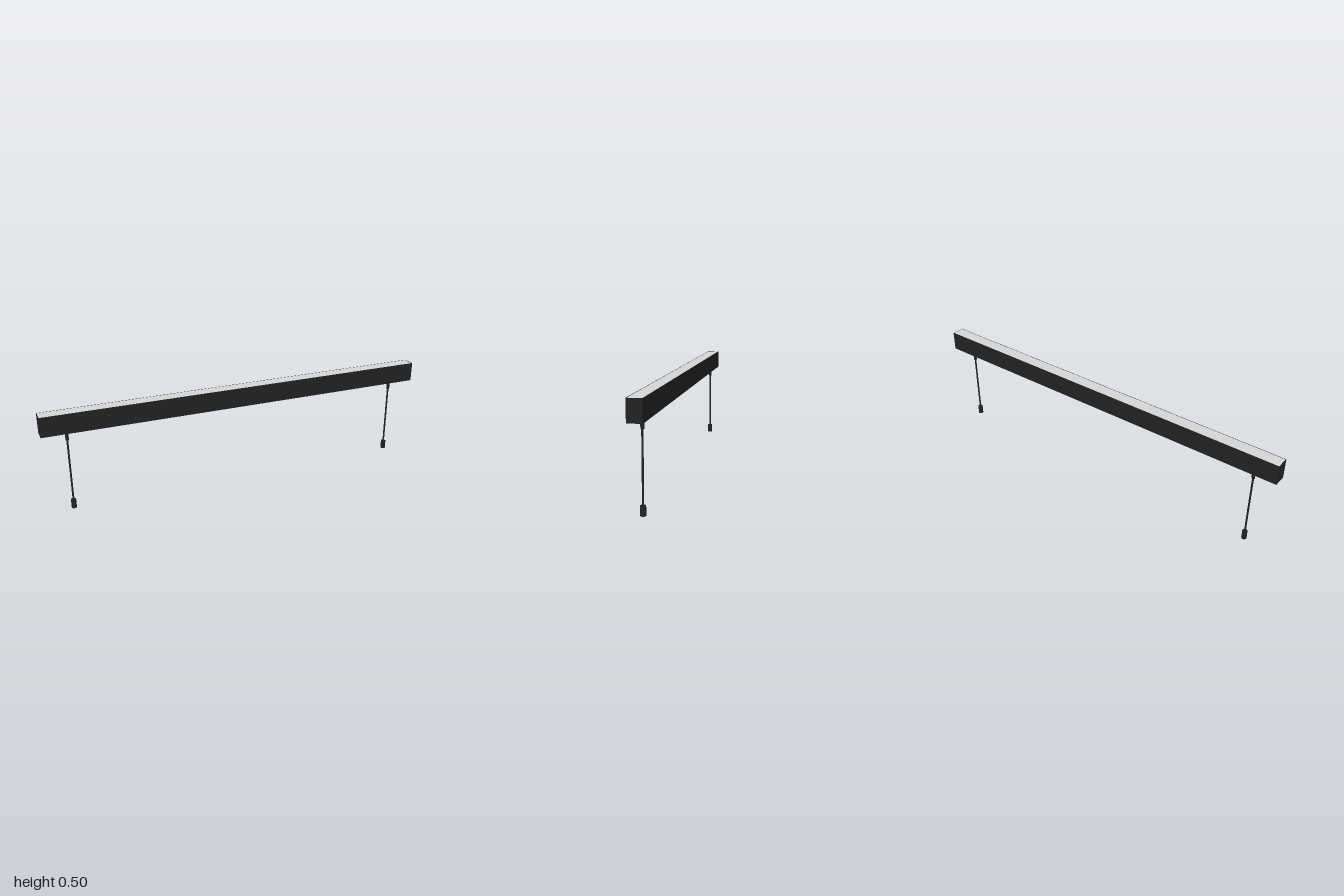
import * as THREE from 'three';

export function createModel() {
  const model = new THREE.Group();
  const black = new THREE.MeshStandardMaterial({ color: 0x222222 });
  black.name = 'matteBlack';
  const white = new THREE.MeshStandardMaterial({ color: 0xd4d4d4 });
  white.name = 'diffuserWhite';

  const add = (parent, name, geometry, material, x, y, z) => {
    const mesh = new THREE.Mesh(geometry, material);
    mesh.name = name;
    mesh.position.set(x, y, z);
    parent.add(mesh);
    return mesh;
  };

  const bottom = 0.401, top = 0.499, depth = 0.066, wall = 0.002;

  // Thin-walled rectangular housing, open above and below
  const outline = (w, d, Type) => new Type([
    new THREE.Vector2(-w, -d), new THREE.Vector2(w, -d),
    new THREE.Vector2(w, d), new THREE.Vector2(-w, d),
  ]);
  const section = outline(1, depth / 2, THREE.Shape);
  section.holes.push(outline(1 - wall, depth / 2 - wall, THREE.Path));
  const housing = new THREE.ExtrudeGeometry(section, { depth: top - bottom, bevelEnabled: false });
  housing.rotateX(-Math.PI / 2);
  add(model, 'housing', housing, black, 0, bottom, 0);

  // Diffuser panels closing the housing
  const panel = new THREE.BoxGeometry(2 - 2 * wall, 0.004, depth - 2 * wall);
  add(model, 'upperDiffuser', panel, white, 0, top - 0.0025, 0);
  add(model, 'lowerDiffuser', panel, white, 0, bottom + 0.0035, 0);

  // One suspension set near each end
  for (const side of [-1, 1]) {
    const suspension = new THREE.Group();
    suspension.name = side > 0 ? 'leftSuspension' : 'rightSuspension';
    suspension.position.x = side * 0.878;
    model.add(suspension);
    const rod = (name, radius, y0, y1) =>
      add(suspension, name, new THREE.CylinderGeometry(radius, radius, y1 - y0, 24), black, 0, (y0 + y1) / 2, 0);
    add(suspension, 'crossBar', new THREE.BoxGeometry(0.018, 0.003, depth - 2 * wall), black, 0, bottom + 0.0015, 0);
    rod('ferrule', 0.008, 0.358, bottom + 0.001);
    rod('cable', 0.0045, 0.04, 0.36);
    rod('endFitting', 0.0125, 0, 0.044);
  }

  return model;
}
